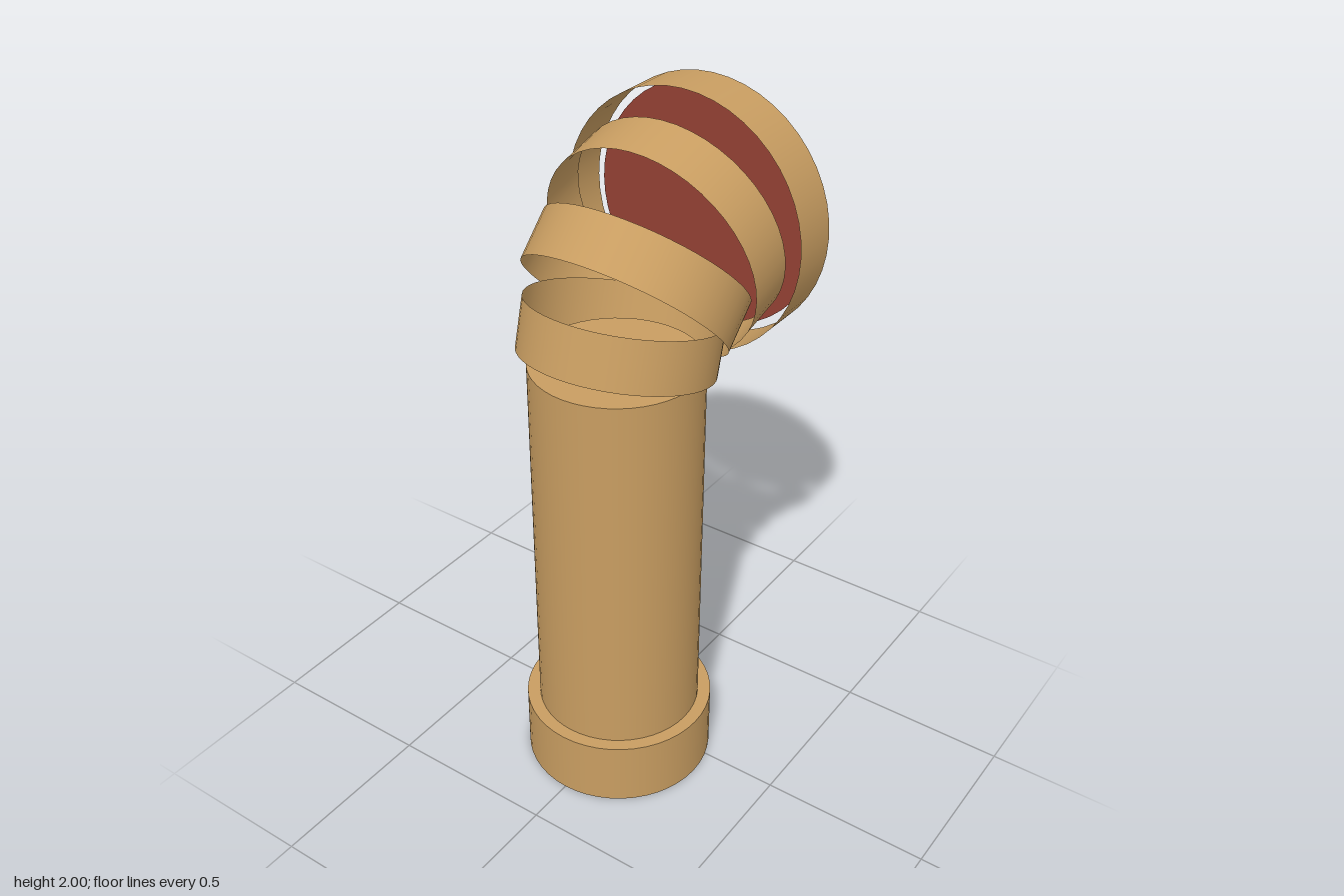
import * as THREE from 'three';

export function createModel() {
  const model = new THREE.Group();
  const tan = new THREE.MeshStandardMaterial({ color: 0xc89d61, side: THREE.DoubleSide });
  tan.name = 'tan pipe';
  const red = new THREE.MeshStandardMaterial({ color: 0x924033, side: THREE.DoubleSide });
  red.name = 'red mouth';

  const SIDES = 48;
  const shaftX = -0.08;

  function add(name, geometry, material, x, y) {
    const mesh = new THREE.Mesh(geometry, material);
    mesh.name = name;
    mesh.position.set(x, y, 0);
    model.add(mesh);
    return mesh;
  }

  // Open-bottomed foot collar with its flat top
  add('footCollar', new THREE.CylinderGeometry(0.278, 0.278, 0.2, SIDES, 1, true), tan, shaftX, 0.1);
  add('footCollarTop', new THREE.CircleGeometry(0.278, SIDES).rotateX(-Math.PI / 2), tan, shaftX, 0.2);

  // Upright shaft, closed at the top
  add('shaft', new THREE.CylinderGeometry(0.24, 0.24, 1.14, SIDES, 1, true), tan, shaftX, 0.77);
  add('shaftTop', new THREE.CircleGeometry(0.24, SIDES).rotateX(-Math.PI / 2), tan, shaftX, 1.34);

  // Thin hoops fanning round the elbow: [tilt, radius, inner lower corner x, y]
  const width = 0.146;
  const hoops = [
    [15, 0.27, 0.18, 1.272],
    [45, 0.297, 0.165, 1.275],
    [75, 0.328, 0.15, 1.272],
    [90, 0.3725, 0.209, 1.255],
  ];
  hoops.forEach(([degrees, radius, x, y], i) => {
    const a = THREE.MathUtils.degToRad(degrees);
    const s = Math.sin(a), c = Math.cos(a);
    const hoop = add(
      'elbowHoop' + (i + 1),
      new THREE.CylinderGeometry(radius, radius, width, SIDES, 1, true), tan,
      x - c * radius + s * width / 2,
      y + s * radius + c * width / 2
    );
    hoop.rotation.z = -a;
  });

  // Mouth disc just inside the last hoop
  add('mouthDisc', new THREE.CircleGeometry(0.35, SIDES).rotateY(Math.PI / 2), red, 0.348, 1.628);

  return model;
}
